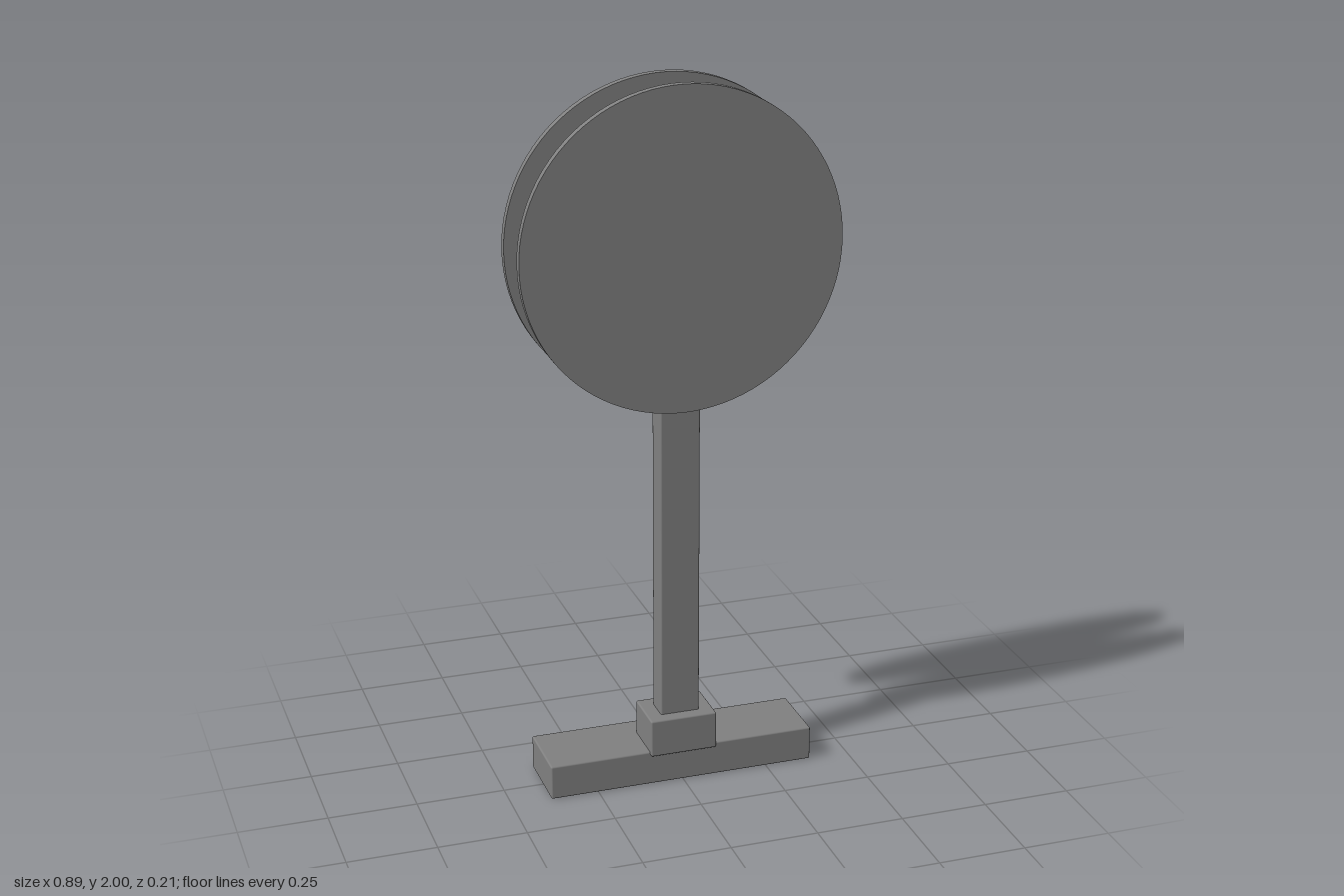
import * as THREE from 'three';
import { RoundedBoxGeometry } from 'three/addons/geometries/RoundedBoxGeometry.js';

export function createModel() {
  const model = new THREE.Group();
  const grey = new THREE.MeshStandardMaterial({ color: 0x808080 });
  grey.name = 'grey';

  // Box with slightly softened edges, given by its limits on each axis
  function block(name, [x0, x1], [y0, y1], [z0, z1]) {
    const geometry = new RoundedBoxGeometry(x1 - x0, y1 - y0, z1 - z0, 2, 0.005);
    const mesh = new THREE.Mesh(geometry, grey);
    mesh.name = name;
    mesh.position.set((x0 + x1) / 2, (y0 + y1) / 2, (z0 + z1) / 2);
    model.add(mesh);
  }

  // Foot, collar and upright post
  block('base', [-0.387, 0.385], [0, 0.1], [-0.107, 0.093]);
  block('collar', [-0.098, 0.095], [0.09, 0.2], [-0.038, 0.105]);
  block('post', [-0.058, 0.055], [0.15, 1.82], [-0.003, 0.07]);

  // Two parallel round sign plates
  function disc(name, z0, z1) {
    const geometry = new THREE.CylinderGeometry(0.447, 0.447, z1 - z0, 96);
    geometry.rotateX(Math.PI / 2);
    const mesh = new THREE.Mesh(geometry, grey);
    mesh.name = name;
    mesh.position.set(0, 1.553, (z0 + z1) / 2);
    model.add(mesh);
  }
  disc('frontDisc', 0.07, 0.093);
  disc('backDisc', -0.084, -0.061);

  return model;
}
